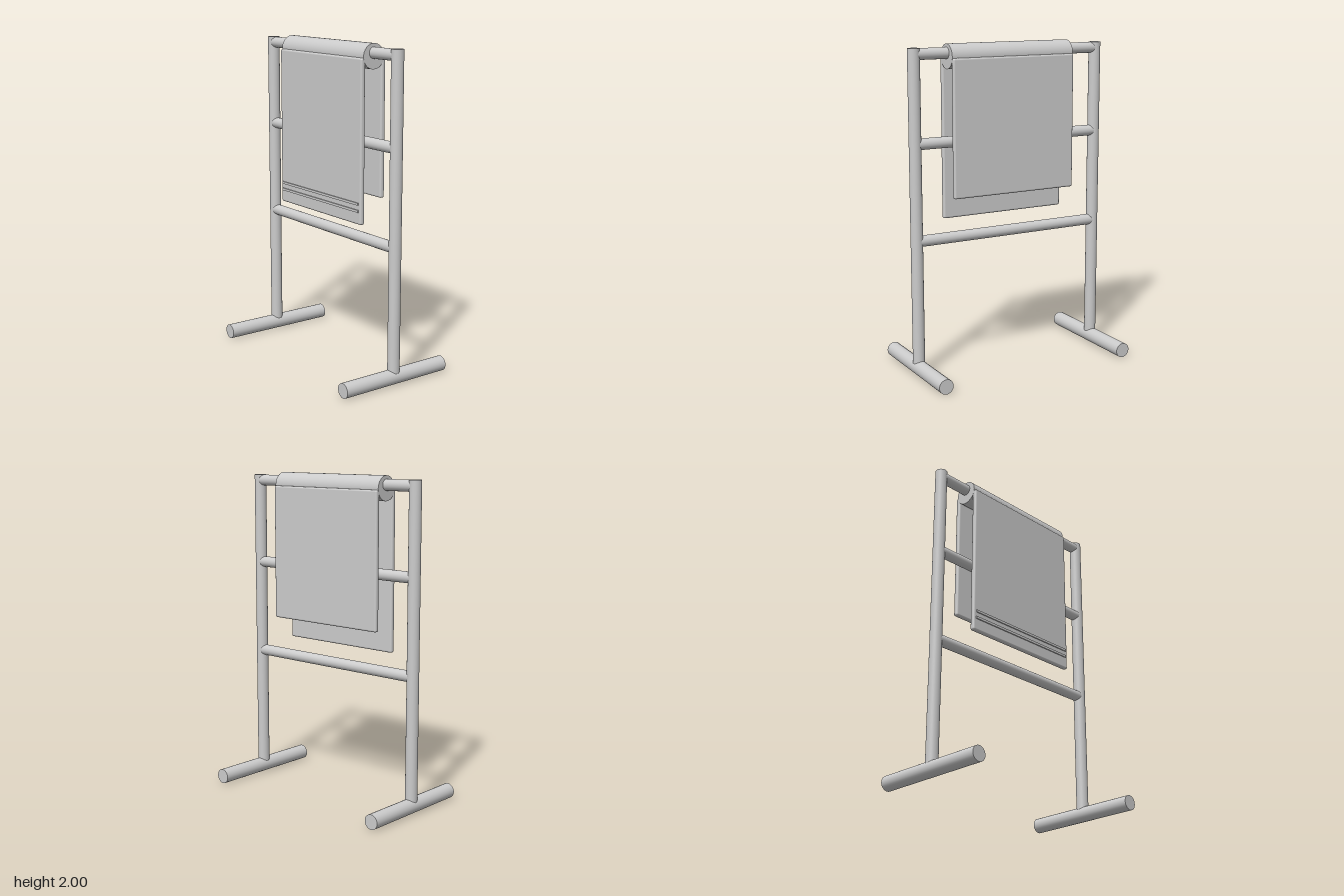
import * as THREE from 'three';
import { RoundedBoxGeometry } from 'three/addons/geometries/RoundedBoxGeometry.js';

const POST_X = 0.627;

export function createModel() {
  const model = new THREE.Group();
  model.name = 'towelRack';
  const material = new THREE.MeshStandardMaterial({ color: 0xcccccc });

  const add = (name, geometry, x, y, z) => {
    const mesh = new THREE.Mesh(geometry, material);
    mesh.name = name;
    mesh.position.set(x, y, z);
    model.add(mesh);
    return mesh;
  };
  // Round bar lying along the x, y or z axis
  const bar = (name, radius, length, axis, x, y, z) => {
    const geometry = new THREE.CylinderGeometry(radius, radius, length, 32);
    if (axis === 'x') geometry.rotateZ(Math.PI / 2);
    if (axis === 'z') geometry.rotateX(Math.PI / 2);
    return add(name, geometry, x, y, z);
  };

  // Side frames: an upright post on a floor tube
  for (const [side, s] of [['left', 1], ['right', -1]]) {
    bar(side + 'Post', 0.037, 1.93, 'y', s * POST_X, 1.015, 0);
    bar(side + 'Foot', 0.046, 0.75, 'z', s * POST_X, 0.046, 0);
  }

  // Horizontal rails
  [['lowerRail', 0.835], ['middleRail', 1.42], ['upperRail', 1.945]].forEach(([name, y]) =>
    bar(name, 0.034, 2 * POST_X, 'x', 0, y, 0));

  // Towel: fold over the upper rail and two hanging panels
  bar('towelFold', 0.075, 0.83, 'x', 0, 1.925, 0);
  const panel = (name, bottom, top, z) =>
    add(name, new RoundedBoxGeometry(0.83, top - bottom, 0.032, 3, 0.012), 0, (top + bottom) / 2, z);
  panel('towelFront', 0.94, 1.918, 0.074);
  panel('towelBack', 1.085, 1.918, -0.074);

  // Raised stripes near the front hem
  for (const y of [1.022, 1.065]) {
    add('towelStripe', new THREE.BoxGeometry(0.79, 0.015, 0.01), 0, y, 0.092);
  }

  return model;
}
